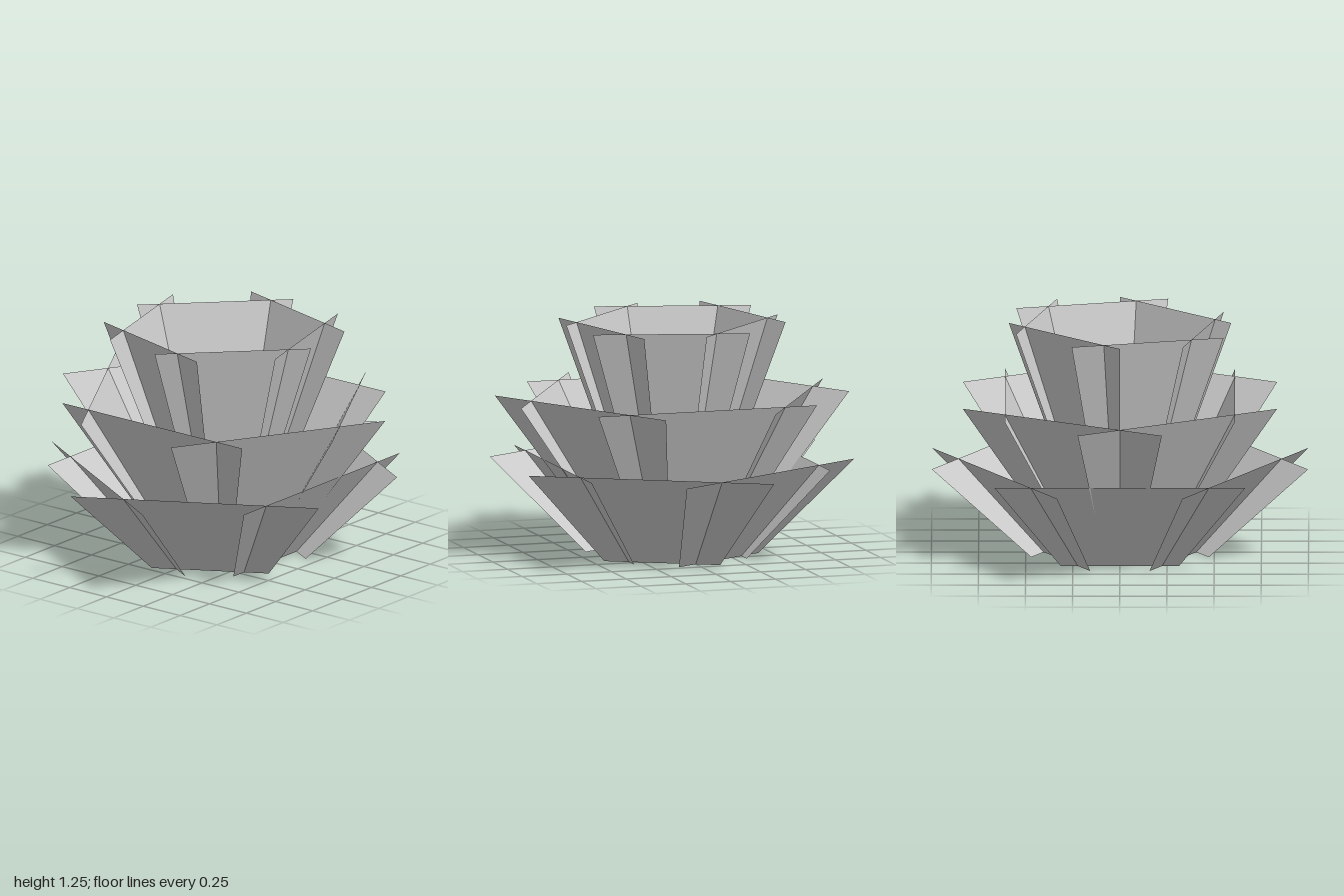
import * as THREE from 'three';

const material = new THREE.MeshStandardMaterial({ color: 0xcccccc, side: THREE.DoubleSide, flatShading: true });

// One flat flared leaf: wide top edge at the given height, narrowing towards y = 0.
function makeLeaf(midX, midZ, normalAngle, halfWidth, height, taper) {
  const tx = Math.sin(normalAngle), tz = -Math.cos(normalAngle);
  const geometry = new THREE.PlaneGeometry(2, 2);
  const p = geometry.attributes.position;
  for (let i = 0; i < p.count; i++) {
    const side = p.getX(i) * halfWidth;
    const top = p.getY(i) > 0;
    const k = top ? 1 : taper;
    p.setXYZ(i, (midX + tx * side) * k, top ? height : 0, (midZ + tz * side) * k);
  }
  geometry.computeVertexNormals();
  const leaf = new THREE.Mesh(geometry, material);
  leaf.name = 'leaf';
  return leaf;
}

// A ring of six overlapping leaves; turn is the direction of its first leaf in the xz plane.
function makeTier(name, size, height, taper, turn) {
  const tier = new THREE.Group();
  tier.name = name;
  const c = Math.cos(turn), s = Math.sin(turn);
  // leaf centres along and across the turn direction, and facing angle in degrees
  const leaves = [[1, 0, 0], [0.5, 1, 60], [-0.5, 1, 120], [-1, 0, 180], [-0.5, -1, 240], [0.5, -1, 300]];
  for (const [a, b, degrees] of leaves) {
    const x = size * (a * c - b * s), z = size * (a * s + b * c);
    tier.add(makeLeaf(x, z, turn + THREE.MathUtils.degToRad(degrees), size, height, taper));
  }
  return tier;
}

export function createModel() {
  const plant = new THREE.Group();
  plant.name = 'leafyPlant';
  plant.add(
    makeTier('outerLeaves', 0.665, 0.51, 0.472, Math.PI / 2),
    makeTier('middleLeaves', 0.61, 0.855, 0.335, 0),
    makeTier('innerLeaves', 0.417, 1.25, 0.25, -Math.PI / 4)
  );
  return plant;
}
